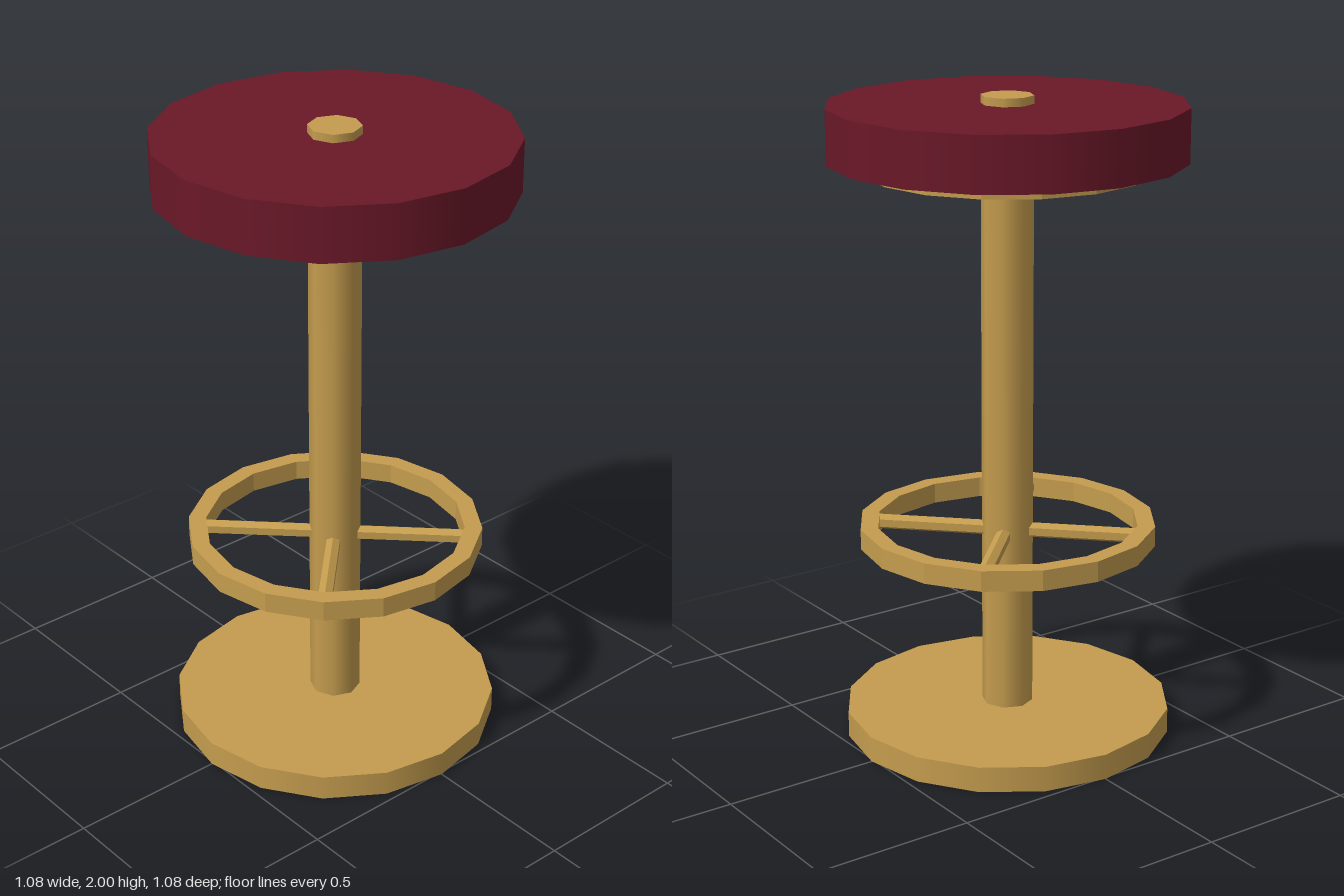
import * as THREE from 'three';

const brass = new THREE.MeshStandardMaterial({ color: 0xc49c4e });
const facetedBrass = new THREE.MeshStandardMaterial({ color: 0xc49c4e, flatShading: true });
const leather = new THREE.MeshStandardMaterial({ color: 0x6a1828 });

// Upright disc or post spanning y0..y1
function disc(name, radius, y0, y1, sides, material) {
  const mesh = new THREE.Mesh(new THREE.CylinderGeometry(radius, radius, y1 - y0, sides), material);
  mesh.position.y = (y0 + y1) / 2;
  mesh.name = name;
  return mesh;
}

export function createModel() {
  const stool = new THREE.Group();
  stool.name = 'barStool';

  stool.add(
    disc('base', 0.51, 0, 0.08, 16, brass),
    disc('post', 0.08, 0.04, 2, 8, brass),
    disc('seatPlate', 0.43, 1.775, 1.82, 16, facetedBrass),
    disc('seatCushion', 0.54, 1.81, 1.975, 16, leather)
  );

  // Footrest: rectangular-section ring carried by four diagonal spokes
  const footrest = new THREE.Group();
  footrest.name = 'footrest';
  footrest.position.y = 0.652;
  const section = [[0.46, -0.032], [0.46, 0.032], [0.405, 0.032], [0.405, -0.032], [0.46, -0.032]]
    .map(([r, y]) => new THREE.Vector2(r, y));
  const ring = new THREE.Mesh(new THREE.LatheGeometry(section, 16), facetedBrass);
  ring.name = 'footRing';
  footrest.add(ring);

  const spokeGeometry = new THREE.CylinderGeometry(0.024, 0.024, 0.38, 6)
    .rotateX(Math.PI / 2)
    .translate(0, 0, 0.23);
  for (let i = 0; i < 4; i++) {
    const spoke = new THREE.Mesh(spokeGeometry, facetedBrass);
    spoke.name = 'footrestSpoke';
    spoke.rotation.y = Math.PI / 4 + i * Math.PI / 2;
    footrest.add(spoke);
  }
  stool.add(footrest);
  return stool;
}
